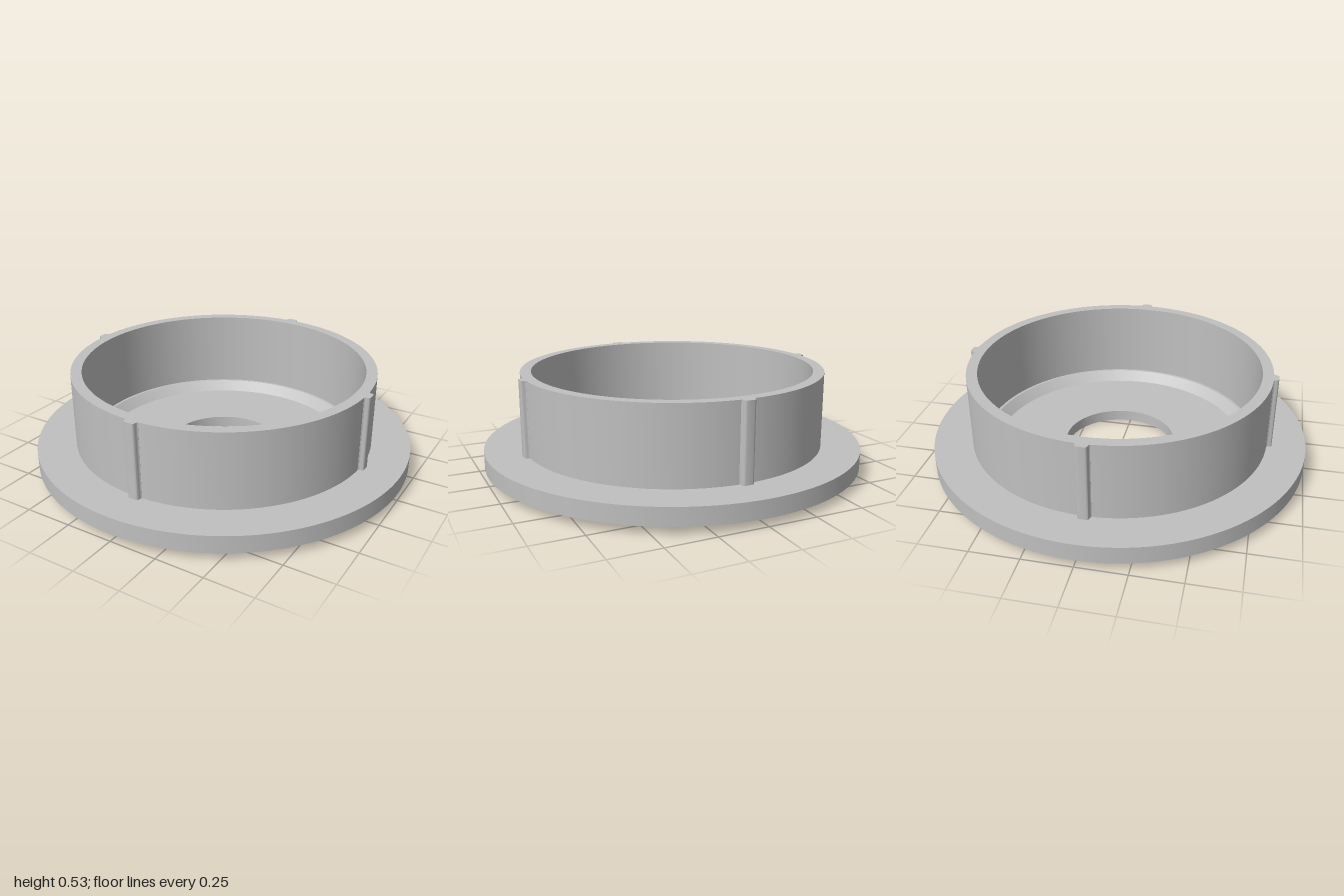
import * as THREE from 'three';
import { toCreasedNormals } from 'three/addons/utils/BufferGeometryUtils.js';

const SEGMENTS = 128;
const HOLE = 0.297, BOSS = 0.81, WALL = 0.797, BORE = 0.74;
const FLOOR_Y = 0.06, FLANGE_BOTTOM = 0.04, FLANGE_TOP = 0.13, RIM_Y = 0.525;

export function createModel() {
  const model = new THREE.Group();
  model.name = 'flangedCap';
  const grey = new THREE.MeshStandardMaterial({ color: 0xc0c0c0 });
  grey.name = 'light grey';

  // Revolve an open profile of [radius, height] points, keeping its corners sharp
  const revolve = (name, profile) => {
    const points = profile.map(([r, y]) => new THREE.Vector2(r, y));
    const geometry = toCreasedNormals(new THREE.LatheGeometry(points, SEGMENTS), 0.6);
    const mesh = new THREE.Mesh(geometry, grey);
    mesh.name = name;
    model.add(mesh);
  };

  // Underside disc with a rounded lower edge
  const fillet = 0.03;
  const underside = [[HOLE, 0]];
  for (let i = 0; i <= 6; i++) {
    const a = (i / 6) * Math.PI / 2;
    underside.push([BOSS - fillet + fillet * Math.sin(a), fillet - fillet * Math.cos(a)]);
  }
  underside.push([BOSS, FLANGE_BOTTOM]);
  revolve('underside', underside);

  // Wide flange
  revolve('flange', [[BOSS, FLANGE_BOTTOM], [1, FLANGE_BOTTOM], [1, FLANGE_TOP], [WALL, FLANGE_TOP]]);

  // Upright collar, outside, rim and bore
  revolve('collar', [[WALL, FLANGE_TOP], [WALL, RIM_Y], [BORE, RIM_Y], [BORE, 0.11]]);

  // Narrow ledge, chamfer, floor and centre hole
  revolve('floor', [[BORE, 0.11], [0.725, 0.11], [0.675, FLOOR_Y], [HOLE, FLOOR_Y], [HOLE, 0]]);

  // Four small vertical ribs with softened edges
  const section = new THREE.Shape();
  section.moveTo(-0.036, 0.78);
  section.lineTo(-0.036, 0.797);
  section.quadraticCurveTo(-0.031, 0.799, -0.03, 0.808);
  section.quadraticCurveTo(-0.029, 0.822, -0.018, 0.823);
  section.lineTo(0.018, 0.823);
  section.quadraticCurveTo(0.029, 0.822, 0.03, 0.808);
  section.quadraticCurveTo(0.031, 0.799, 0.036, 0.797);
  section.lineTo(0.036, 0.78);
  const ribGeometry = toCreasedNormals(new THREE.ExtrudeGeometry(section, {
    depth: RIM_Y - FLANGE_TOP, bevelEnabled: false, curveSegments: 5,
  }).rotateX(-Math.PI / 2).translate(0, FLANGE_TOP, 0), 0.6);
  for (let i = 0; i < 4; i++) {
    const rib = new THREE.Mesh(ribGeometry, grey);
    rib.name = 'rib' + (i + 1);
    rib.rotation.y = i * Math.PI / 2;
    model.add(rib);
  }
  return model;
}
